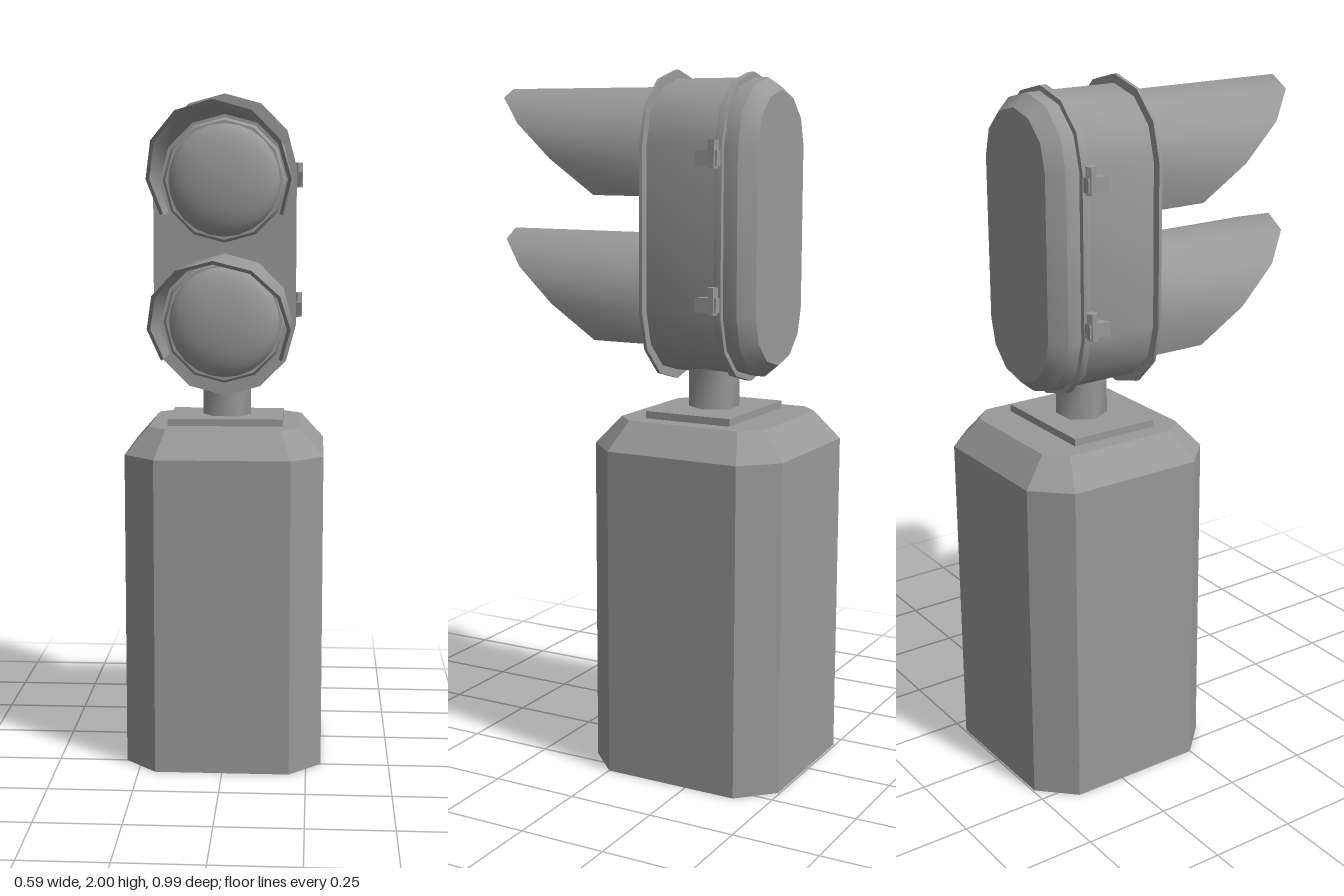
import * as THREE from 'three';
import { toCreasedNormals } from 'three/addons/utils/BufferGeometryUtils.js';

const GREY = 0x999999;
const material = new THREE.MeshStandardMaterial({ color: GREY });
const doubleSided = new THREE.MeshStandardMaterial({ color: GREY, side: THREE.DoubleSide });
const flatDoubleSided = new THREE.MeshStandardMaterial({ color: GREY, side: THREE.DoubleSide, flatShading: true });
const CREASE = 0.6; // radians: 30 degree facets are smooth, chamfers stay sharp

function part(name, geometry, mat = material) {
  const mesh = new THREE.Mesh(geometry, mat);
  mesh.name = name;
  return mesh;
}

// Skin a series of cross-sections (arrays of [x, y, z]); optional flat convex caps.
function loft(rings, { closed = true, startCap = true, endCap = true } = {}) {
  const pos = [];
  const n = rings[0].length;
  const tri = (a, b, c) => pos.push(...a, ...b, ...c);
  for (let i = 0; i < rings.length - 1; i++) {
    for (let j = 0; j < (closed ? n : n - 1); j++) {
      const k = (j + 1) % n;
      const [a, b, c, d] = [rings[i][j], rings[i][k], rings[i + 1][k], rings[i + 1][j]];
      tri(a, b, c);
      tri(a, c, d);
    }
  }
  const first = rings[0], last = rings[rings.length - 1];
  for (let j = 1; j < n - 1; j++) {
    if (startCap) tri(first[0], first[j + 1], first[j]);
    if (endCap) tri(last[0], last[j], last[j + 1]);
  }
  const g = new THREE.BufferGeometry();
  g.setAttribute('position', new THREE.Float32BufferAttribute(pos, 3));
  return toCreasedNormals(g, CREASE);
}

// Square with cut corners, in a horizontal plane.
function cutSquare(y, half, flat) {
  const ring = [];
  for (let q = 0; q < 4; q++) {
    const s = Math.round(Math.sin(q * Math.PI / 2)), c = Math.round(Math.cos(q * Math.PI / 2));
    for (const t of [-flat, flat]) ring.push([s * half + c * t, y, -0.2 + c * half - s * t]);
  }
  return ring;
}

// Upright rounded slot outline at depth z, six facets per end.
function slot(z, r) {
  const ring = [];
  for (const side of [1, -1]) {
    for (let i = 0; i <= 6; i++) {
      const a = i * Math.PI / 6 + (side > 0 ? 0 : Math.PI);
      ring.push([r * Math.cos(a), 1.56 + side * 0.23 + r * Math.sin(a), z]);
    }
  }
  return ring;
}

// Arc of the hood; the front edge is cut on a slant.
function hoodArc(r, front) {
  const ring = [];
  for (let i = 4; i >= -4; i--) {
    const a = i * Math.PI / 6;
    const y = r * Math.cos(a);
    ring.push([r * Math.sin(a), y, front ? 0.241 + 1.275 * y : -0.055]);
  }
  return ring;
}

function createLamp() {
  const lamp = new THREE.Group();
  lamp.name = 'lamp';
  lamp.add(part('hood', loft(
    [hoodArc(0.2, false), hoodArc(0.2, true), hoodArc(0.19, true), hoodArc(0.19, false)],
    { closed: false, startCap: false, endCap: false }), doubleSided));

  // Lens ring
  const ring = new THREE.LatheGeometry(
    [[0.18, -0.06], [0.18, -0.038], [0.172, -0.025], [0.158, -0.025]].map(p => new THREE.Vector2(...p)), 12);
  ring.rotateX(Math.PI / 2);
  lamp.add(part('lensRing', toCreasedNormals(ring, CREASE), doubleSided));

  // Shallow domed lens
  const lens = new THREE.SphereGeometry(0.163, 24, 8, 0, Math.PI * 2, 0, Math.PI / 2);
  lens.rotateX(Math.PI / 2);
  lens.scale(1, 1, 0.34);
  lens.translate(0, 0, -0.027);
  lamp.add(part('lens', lens));
  return lamp;
}

function createLatch(side) {
  const latch = new THREE.Group();
  latch.name = side > 0 ? 'leftLatch' : 'rightLatch';

  // Tapered bracket, outlined from above
  const shape = new THREE.Shape([[0.18, 0.3], [0.222, 0.3], [0.224, 0.235], [0.18, 0.258]]
    .map(([x, z]) => new THREE.Vector2(side * x, z)));
  const bracket = new THREE.ExtrudeGeometry(shape, { depth: 0.04, bevelEnabled: false });
  bracket.rotateX(-Math.PI / 2);
  bracket.translate(0, -0.028, 0);
  latch.add(part('latchBracket', bracket));

  // Hexagonal pin
  const pin = new THREE.CylinderGeometry(0.016, 0.016, 0.075, 6);
  pin.translate(side * 0.212, 0.003, -0.285);
  latch.add(part('latchPin', toCreasedNormals(pin, CREASE)));
  return latch;
}

export function createModel() {
  const model = new THREE.Group();
  model.name = 'signalLight';

  // Pedestal with flat facets, open underneath
  model.add(part('pedestal', loft(
    [cutSquare(0, 0.295, 0.2), cutSquare(0.947, 0.295, 0.2), cutSquare(1.027, 0.225, 0.17)],
    { startCap: false }), flatDoubleSided));

  // Mounting plate and post
  const plate = new THREE.BoxGeometry(0.344, 0.024, 0.265);
  plate.translate(0, 1.036, -0.187);
  model.add(part('mountingPlate', plate));

  const post = new THREE.CylinderGeometry(0.073, 0.073, 0.16, 6);
  post.rotateY(Math.PI / 2);
  post.translate(0, 1.12, -0.184);
  model.add(part('post', toCreasedNormals(post, 1.1)));

  // Housing: front flange, body, seam flange and chamfered back cover
  model.add(part('frontFlange', loft([slot(-0.065, 0.21), slot(-0.055, 0.21)])));
  model.add(part('housing', loft([slot(-0.29, 0.185), slot(-0.06, 0.185)])));
  model.add(part('seamFlange', loft([slot(-0.303, 0.2), slot(-0.282, 0.2)])));
  model.add(part('backCover', loft([slot(-0.386, 0.15), slot(-0.344, 0.185), slot(-0.295, 0.185)])));

  // Two hooded lamps, one above the other
  for (const [name, y] of [['upperLamp', 1.752], ['lowerLamp', 1.34]]) {
    const lamp = createLamp();
    lamp.name = name;
    lamp.position.y = y;
    model.add(lamp);
  }

  // Latches on both sides
  for (const side of [1, -1]) {
    for (const y of [1.767, 1.373]) {
      const latch = createLatch(side);
      latch.position.y = y;
      model.add(latch);
    }
  }
  return model;
}
